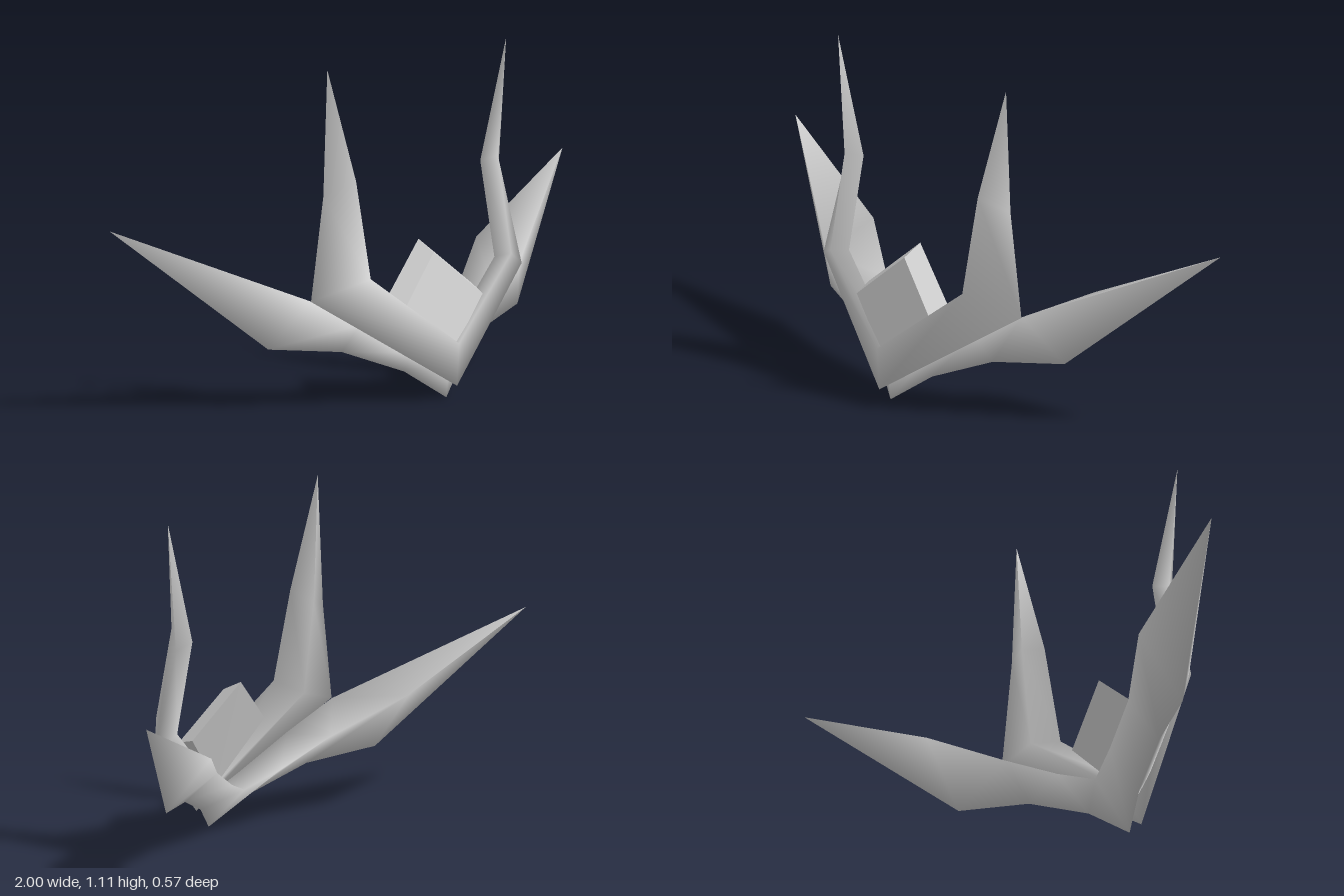
import * as THREE from 'three';
import { ConvexGeometry } from 'three/addons/geometries/ConvexGeometry.js';

const material = new THREE.MeshStandardMaterial({ color: 0xcccccc });

// Smooth three-sided tube through sections running from the middle (x = 0)
// to the left tip; the right half is its mirror.
function mirroredLoft(name, half) {
  const mirrored = half.slice(1).reverse().map(s => s.map(([x, y, z]) => [-x, y, z]));
  const sections = [...mirrored, ...half];
  const index = [];
  for (let s = 0; s < sections.length - 1; s++) {
    for (let i = 0; i < 3; i++) {
      const j = (i + 1) % 3;
      const a = s * 3 + i, b = s * 3 + j;
      index.push(a, b, a + 3, b, b + 3, a + 3);
    }
  }
  const geometry = new THREE.BufferGeometry();
  geometry.setAttribute('position', new THREE.Float32BufferAttribute(sections.flat(2), 3));
  geometry.setIndex(index);
  geometry.computeVertexNormals();
  const mesh = new THREE.Mesh(geometry, material);
  mesh.name = name;
  return mesh;
}

const tip = (x, y, z) => [[x, y, z], [x, y, z], [x, y, z]];

export function createModel() {
  const group = new THREE.Group();
  group.name = 'hornedCrest';

  // Swept side blades: front edge, lower edge, back edge
  group.add(mirroredLoft('sweptBlades', [
    [[0, 0.1, 0.24], [0, 0.005, 0.23], [0, 0.15, 0.085]],
    [[0.13, 0.165, 0.205], [0.125, 0.097, 0.165], [0.13, 0.2, 0.035]],
    [[0.3, 0.27, 0.145], [0.32, 0.175, 0.08], [0.3, 0.285, -0.035]],
    [[0.46, 0.36, 0.085], [0.55, 0.2, -0.02], [0.52, 0.4, -0.18]],
    tip(1, 0.61, -0.285),
  ]));

  // Upright horns: inner front edge, outer lower edge, rear edge
  group.add(mirroredLoft('uprightHorns', [
    [[0, 0.19, 0.29], [0, 0.05, 0.28], [0, 0.15, 0.2]],
    [[0.31, 0.43, 0.205], [0.465, 0.36, 0.09], [0.335, 0.4, 0.1]],
    [[0.313, 0.74, 0.14], [0.387, 0.69, 0.065], [0.32, 0.71, 0.05]],
    tip(0.395, 1.11, 0.092),
  ]));

  // Tilted diamond plate standing in the middle
  const corners = [
    [0, 0.47, 0.17], [0.17, 0.32, 0.22], [-0.17, 0.32, 0.22], [0, 0.17, 0.27],
    [0, 0.505, 0.1], [0.19, 0.34, 0.15], [-0.19, 0.34, 0.15], [0, 0.15, 0.2],
  ].map(p => new THREE.Vector3(...p));
  const plate = new THREE.Mesh(new ConvexGeometry(corners), material);
  plate.name = 'diamondPlate';
  group.add(plate);

  return group;
}
